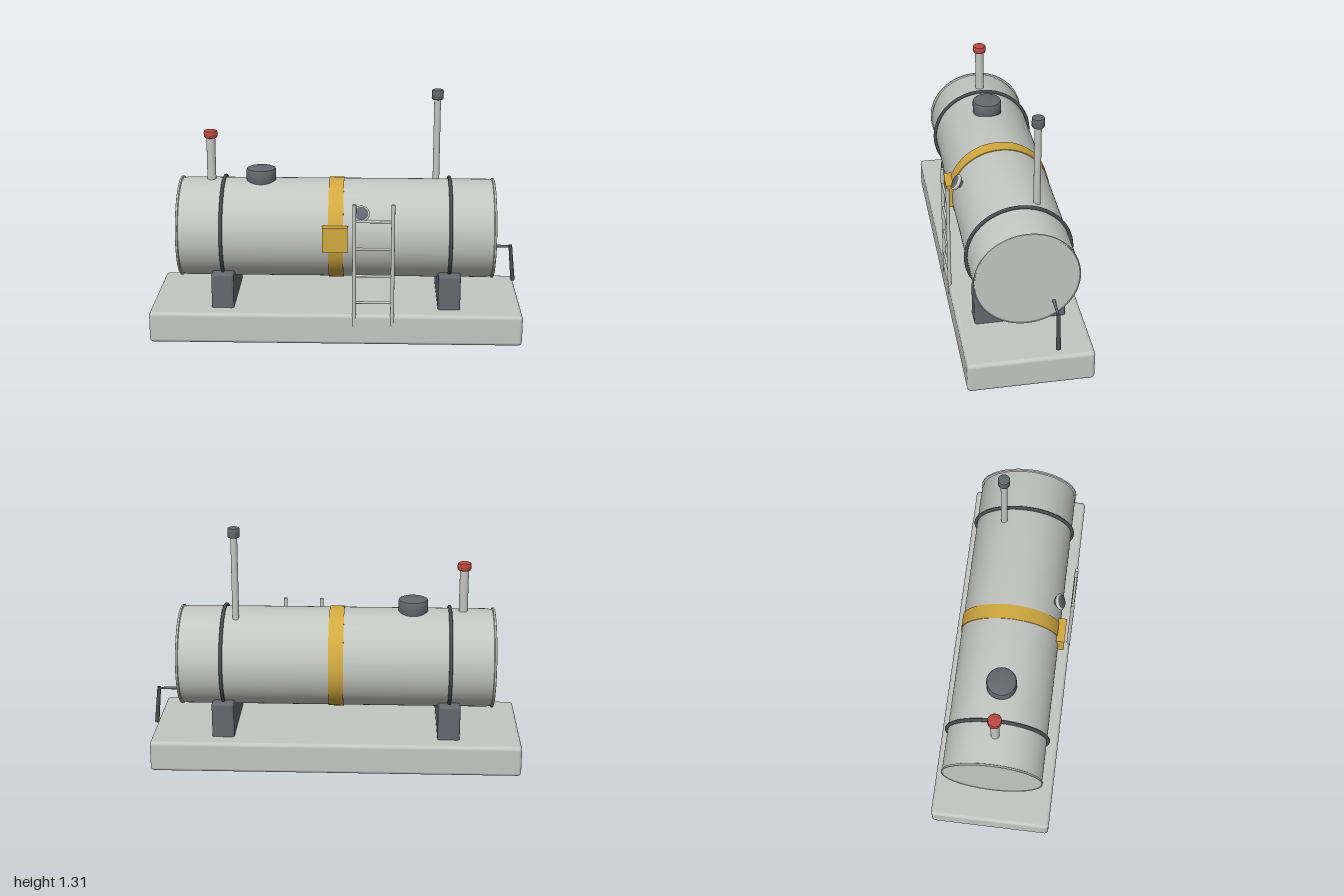
import * as THREE from 'three';
import { toCreasedNormals } from 'three/addons/utils/BufferGeometryUtils.js';
import { RoundedBoxGeometry } from 'three/addons/geometries/RoundedBoxGeometry.js';

const material = (name, color) => {
  const m = new THREE.MeshStandardMaterial({ color });
  m.name = name;
  return m;
};

export function createModel() {
  const light = material('lightGrey', 0xc4c6c3);
  const dark = material('slateGrey', 0x666870);
  const iron = material('darkIron', 0x4a4c50);
  const yellow = material('yellow', 0xd2a940);
  const red = material('red', 0xba4a42);

  const model = new THREE.Group();
  model.name = 'storageTank';
  const AXIS_Y = 0.56;

  const add = (name, geometry, mat, x = 0, y = 0, z = 0, parent = model) => {
    const mesh = new THREE.Mesh(geometry, mat);
    mesh.name = name;
    mesh.position.set(x, y, z);
    parent.add(mesh);
    return mesh;
  };
  const box = (w, h, d, r) => new RoundedBoxGeometry(w, h, d, 3, r);
  const lathe = (points, segments = 64) => toCreasedNormals(
    new THREE.LatheGeometry(points.map(([r, y]) => new THREE.Vector2(r, y)), segments), 0.6);
  // Upright disc or drum with softened edges, standing on y = 0
  const drum = (r, h, b) => lathe([[0, 0], [r - b, 0], [r - b * 0.3, b * 0.3], [r, b],
    [r, h - b], [r - b * 0.3, h - b * 0.3], [r - b, h], [0, h]], 40);
  // Round bar between two points
  const bar = (name, a, b, r0, r1, mat, parent = model) => {
    const from = new THREE.Vector3(...a), to = new THREE.Vector3(...b);
    const dir = to.clone().sub(from);
    const mesh = add(name, new THREE.CylinderGeometry(r1, r0, dir.length(), 20), mat, 0, 0, 0, parent);
    mesh.position.copy(from).add(to).multiplyScalar(0.5);
    mesh.quaternion.setFromUnitVectors(new THREE.Vector3(0, 1, 0), dir.normalize());
    return mesh;
  };

  // Plinth
  add('base', box(2, 0.17, 0.66, 0.02), light, 0, 0.085, 0);

  // Horizontal vessel with raised end rims
  const half = [[0.268, 0.815], [0.264, 0.83], [0.264, 0.838], [0.272, 0.841],
    [0.272, 0.85], [0.268, 0.852], [0.266, 0.848], [0, 0.848]];
  const profile = [...half.map(([r, y]) => [r, -y]).reverse(), ...half];
  add('tank', lathe(profile, 96), light, 0, AXIS_Y, 0).rotation.z = -Math.PI / 2;

  // Saddles and clamping straps
  for (const side of [-1, 1]) {
    add('saddle', box(0.12, 0.21, 0.48, 0.014), dark, side * 0.61, 0.257, 0);
    add('strap', new THREE.TorusGeometry(0.275, 0.0095, 12, 96), iron, side * 0.61, AXIS_Y, 0)
      .rotation.y = Math.PI / 2;
  }

  // Painted centre band and its plate
  const band = lathe([[0.266, -0.04], [0.273, -0.04], [0.273, 0.04], [0.266, 0.04]], 96);
  add('band', band, yellow, 0, AXIS_Y, 0).rotation.z = -Math.PI / 2;
  add('plate', new THREE.BoxGeometry(0.135, 0.135, 0.045), yellow, -0.003, 0.578, 0.2775);

  // Top hatch
  add('hatch', drum(0.08, 0.085, 0.012), dark, -0.41, 0.808, 0);

  // Filler pipe and tall vent, each with a cap
  bar('fillerPipe', [-0.68, 0.8, 0], [-0.68, 1.07, 0], 0.024, 0.024, light);
  add('fillerCap', drum(0.037, 0.042, 0.01), red, -0.68, 1.056, 0);
  bar('ventPipe', [0.54, 0.78, -0.103], [0.54, 1.27, -0.103], 0.018, 0.018, light);
  add('ventCap', drum(0.032, 0.054, 0.007), dark, 0.54, 1.252, -0.103);

  // Pressure gauge leaning out along the vessel radius
  const gauge = new THREE.Group();
  gauge.name = 'gauge';
  gauge.position.set(0.135, AXIS_Y, 0);
  gauge.rotation.x = Math.PI / 2 - 0.54;
  model.add(gauge);
  bar('gaugeStem', [0, 0.25, 0], [0, 0.3, 0], 0.02, 0.02, dark, gauge);
  add('gaugeBody', drum(0.038, 0.024, 0.004), dark, 0, 0.282, 0, gauge);
  add('gaugeBezel', new THREE.TorusGeometry(0.036, 0.009, 12, 40), light, 0, 0.296, 0, gauge)
    .rotation.x = Math.PI / 2;

  // Ladder
  const ladder = new THREE.Group();
  ladder.name = 'ladder';
  model.add(ladder);
  const ladderZ = 0.323;
  for (const x of [0.1, 0.303]) {
    bar('ladderRail', [x, 0.107, ladderZ], [x, 0.783, ladderZ], 0.01, 0.01, light, ladder);
  }
  for (let i = 0; i < 4; i++) {
    const y = 0.24 + i * 0.15;
    bar('ladderRung', [0.1, y, ladderZ], [0.303, y, ladderZ], 0.007, 0.007, light, ladder);
  }

  // Drain crank on the end cap
  const crankZ = -0.137;
  bar('crankArm', [0.84, 0.412, crankZ], [0.968, 0.408, crankZ], 0.009, 0.006, dark);
  bar('crankHandle', [0.965, 0.417, crankZ], [0.985, 0.21, crankZ], 0.01, 0.012, iron);

  return model;
}
